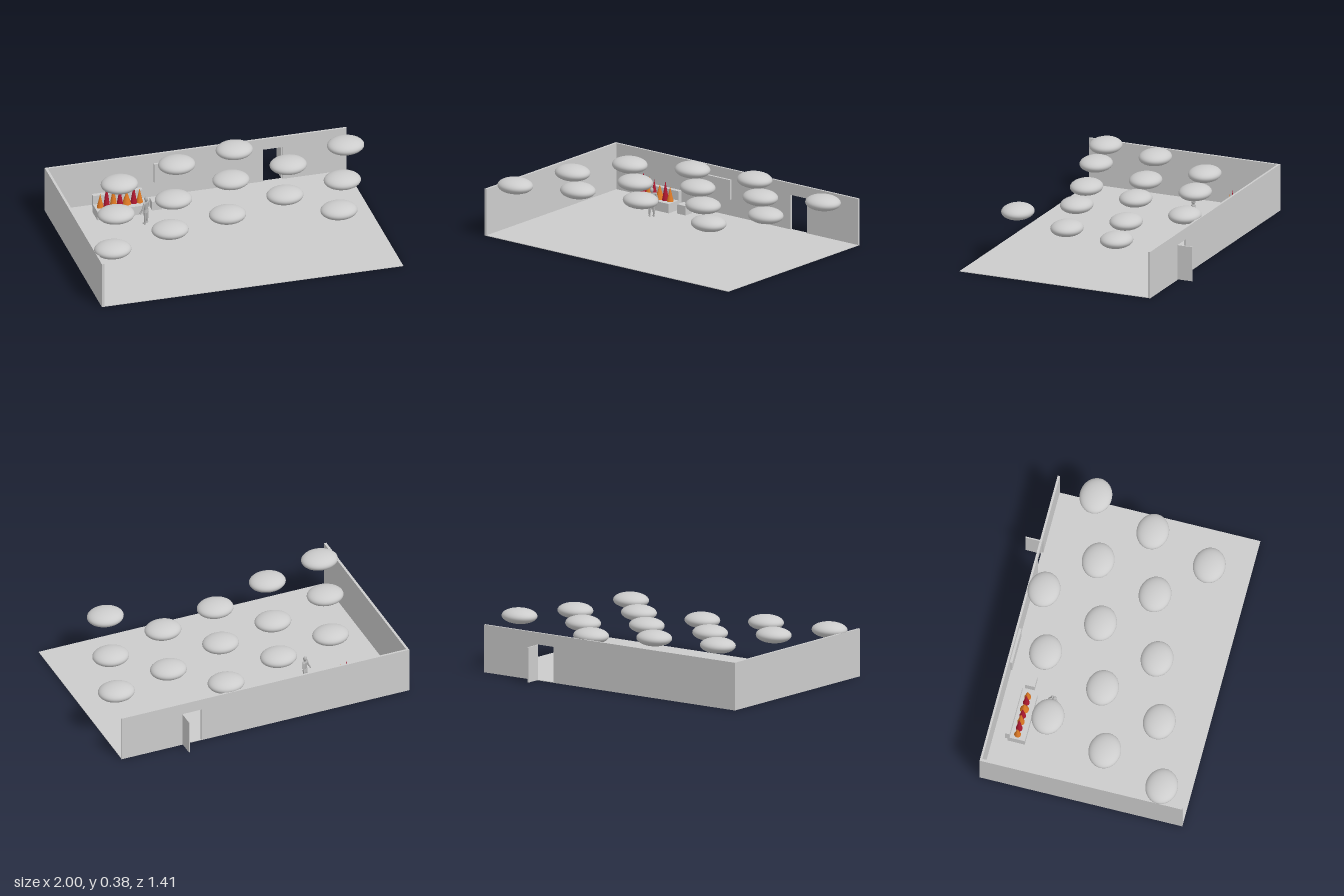
import * as THREE from 'three';

const mat = (name, color) => {
  const m = new THREE.MeshStandardMaterial({ color });
  m.name = name;
  return m;
};

export function createModel() {
  const root = new THREE.Group();
  root.name = 'room';
  const grey = mat('plaster grey', 0xcccccc);
  const figureGrey = mat('figure grey', 0xb4b4b4);
  const red = mat('flame red', 0xb01830);
  const orange = mat('flame orange', 0xe07a24);

  const add = (name, geometry, material, parent = root) => {
    const mesh = new THREE.Mesh(geometry, material);
    mesh.name = name;
    parent.add(mesh);
    return mesh;
  };
  // Box given by its extents on each axis
  const box = (name, [x0, x1], [y0, y1], [z0, z1], parent = root) => {
    const m = add(name, new THREE.BoxGeometry(x1 - x0, y1 - y0, z1 - z0), grey, parent);
    m.position.set((x0 + x1) / 2, (y0 + y1) / 2, (z0 + z1) / 2);
    return m;
  };

  // Floor and side wall
  box('floor', [-1, 0.96], [0, 0.004], [-0.606, 0.703]);
  box('sideWall', [-1, -0.984], [0.004, 0.305], [-0.593, 0.703]);

  // Back wall with a doorway cut up from the floor
  const wall = new THREE.Shape();
  [[-1, 0], [0.417, 0], [0.417, 0.23], [0.546, 0.23], [0.546, 0], [0.96, 0], [0.96, 0.305], [-1, 0.305]]
    .forEach(([x, y], i) => (i ? wall.lineTo(x, y) : wall.moveTo(x, y)));
  wall.closePath();
  const backWall = add('backWall', new THREE.ExtrudeGeometry(wall, { depth: 0.014, bevelEnabled: false }), grey);
  backWall.position.z = -0.607;
  // The floor stops at the doorway, the door stands open behind it
  box('door', [0.537, 0.545], [0.003, 0.228], [-0.706, -0.606]);
  box('wallPanel', [-0.296, -0.06], [0.11, 0.24], [-0.594, -0.577]);

  // Bench with a backrest, and a stool next to it
  const bench = new THREE.Group();
  bench.name = 'bench';
  root.add(bench);
  box('benchSeat', [-0.72, -0.398], [0.003, 0.065], [-0.498, -0.387], bench);
  box('benchBack', [-0.72, -0.398], [0.043, 0.125], [-0.515, -0.485], bench);
  box('stool', [-0.355, -0.287], [0.003, 0.065], [-0.481, -0.417]);

  // Row of flames on the seat: x, tip height, radius
  [[-0.686, 0.158, 0.022], [-0.644, 0.216, 0.022], [-0.6, 0.2, 0.024], [-0.558, 0.182, 0.022],
    [-0.514, 0.158, 0.029], [-0.468, 0.19, 0.022], [-0.43, 0.16, 0.022]].forEach(([x, top, r], i) => {
    const h = top - 0.064;
    const flame = add('flame', new THREE.ConeGeometry(r, h, 12), i % 2 ? red : orange);
    flame.position.set(x, 0.064 + h / 2, -0.442);
  });

  // Clouds, spread evenly along x at two alternating heights
  const cloud = new THREE.SphereGeometry(1, 40, 24);
  [0.54, 0.137, -0.265, 0.42, 0.018, -0.385, 0.3, -0.1, -0.5, 0.182, -0.22, 0.463, 0.063, -0.34]
    .forEach((z, i) => {
      const m = add('cloud', cloud, grey);
      m.scale.set(0.118, 0.049, 0.102);
      m.position.set(-0.883 + 0.1357 * i, i % 2 ? 0.327 : 0.311, z);
    });

  // Standing figure facing the bench
  const figure = new THREE.Group();
  figure.name = 'figure';
  figure.position.set(-0.437, 0, -0.267);
  figure.rotation.y = Math.PI * 1.25;
  root.add(figure);
  const limb = (name, a, b, ra, rb) => {
    const p = new THREE.Vector3(...a), q = new THREE.Vector3(...b);
    const d = q.clone().sub(p);
    const m = add(name, new THREE.CylinderGeometry(rb, ra, d.length(), 12), figureGrey, figure);
    m.position.copy(p).add(q).multiplyScalar(0.5);
    m.quaternion.setFromUnitVectors(new THREE.Vector3(0, 1, 0), d.normalize());
    return m;
  };
  const ball = (name, [x, y, z], [sx, sy, sz]) => {
    const m = add(name, new THREE.SphereGeometry(1, 16, 12), figureGrey, figure);
    m.position.set(x, y, z);
    m.scale.set(sx, sy, sz);
  };
  ball('head', [0, 0.178, 0], [0.012, 0.016, 0.013]);
  limb('neck', [0, 0.155, 0], [0, 0.168, 0], 0.006, 0.006);
  limb('torso', [0, 0.108, 0], [0, 0.157, 0], 0.017, 0.024).scale.z = 0.6;
  limb('hips', [0, 0.088, 0], [0, 0.108, 0], 0.022, 0.018).scale.z = 0.7;
  for (const s of [-1, 1]) {
    ball('shoulder', [s * 0.025, 0.152, 0], [0.008, 0.008, 0.008]);
    limb('upperArm', [s * 0.025, 0.152, 0], [s * 0.035, 0.122, 0.004], 0.007, 0.006);
    limb('forearm', [s * 0.035, 0.122, 0.004], [s * 0.044, 0.097, 0.014], 0.006, 0.004);
    ball('hand', [s * 0.045, 0.093, 0.016], [0.005, 0.007, 0.005]);
    limb('thigh', [s * 0.012, 0.09, 0], [s * 0.013, 0.05, 0], 0.01, 0.008);
    limb('shin', [s * 0.013, 0.05, 0], [s * 0.013, 0.01, 0], 0.008, 0.005);
    ball('foot', [s * 0.013, 0.009, 0.006], [0.007, 0.006, 0.014]);
  }
  return root;
}
